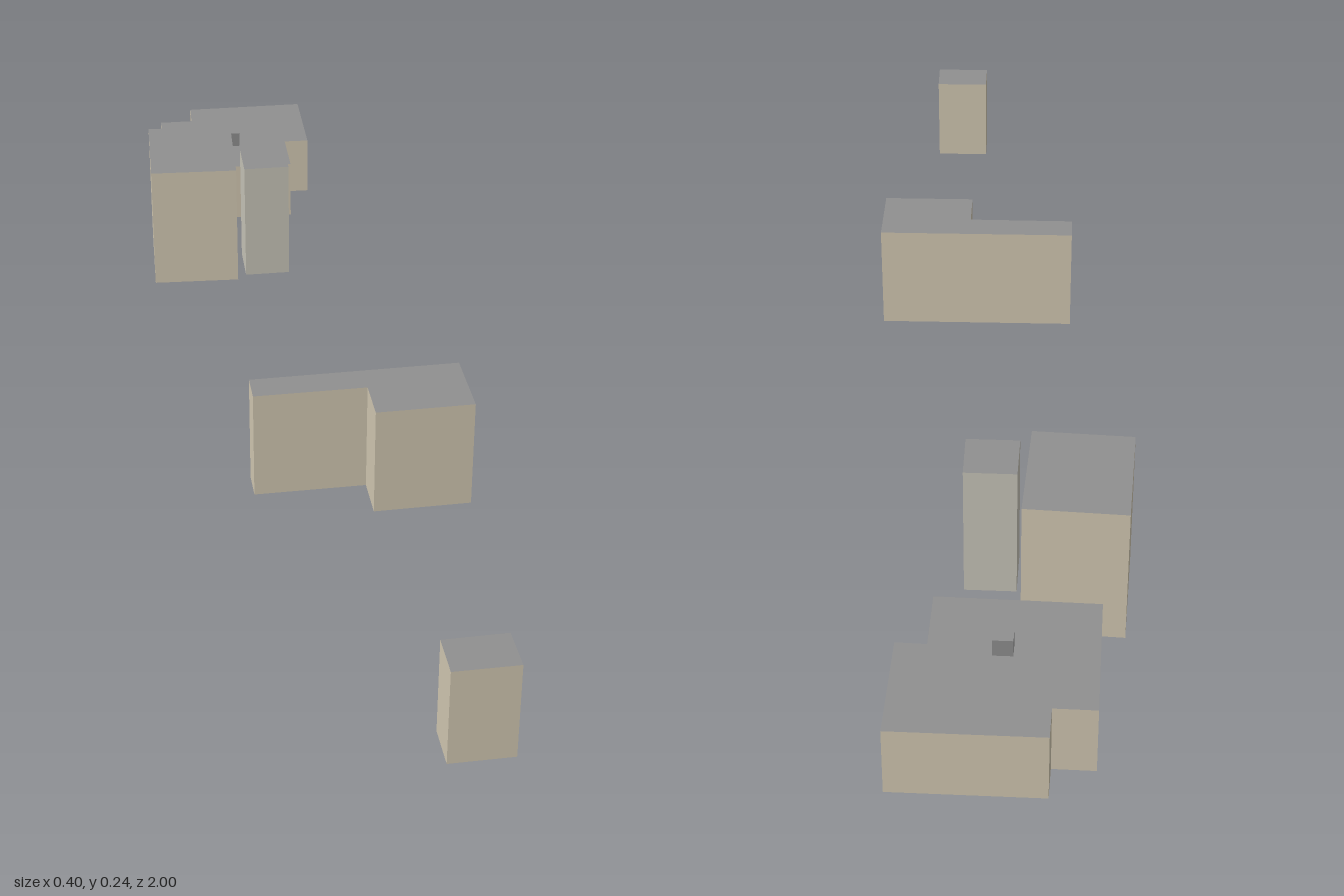
import * as THREE from 'three';

const paint = (color) => new THREE.MeshStandardMaterial({ color, side: THREE.DoubleSide });

// Outward-facing wall quads around a footprint of [x, z] corners (clockwise from above)
function wallGeometry(corners, y0, y1) {
  const positions = [];
  corners.forEach(([ax, az], i) => {
    const [bx, bz] = corners[(i + 1) % corners.length];
    positions.push(bx, y0, bz, ax, y0, az, ax, y1, az);
    positions.push(bx, y0, bz, ax, y1, az, bx, y1, bz);
  });
  const geometry = new THREE.BufferGeometry();
  geometry.setAttribute('position', new THREE.Float32BufferAttribute(positions, 3));
  geometry.computeVertexNormals();
  return geometry;
}

// Flat roof over the same footprint
function roofGeometry(corners, y) {
  const shape = new THREE.Shape(corners.map(([x, z]) => new THREE.Vector2(x, -z)));
  return new THREE.ShapeGeometry(shape).rotateX(-Math.PI / 2).translate(0, y, 0);
}

export function createModel() {
  const model = new THREE.Group();
  model.name = 'buildingGroup';
  const tan = paint(0xd2c8b2);
  const paleGrey = paint(0xc8c5b9);
  const grey = paint(0x909090);

  // Each building is an open-bottomed shell: walls plus a flat roof
  function addBuilding(name, corners, y0, y1, wallMaterial) {
    const building = new THREE.Group();
    building.name = name;
    const walls = new THREE.Mesh(wallGeometry(corners, y0, y1), wallMaterial);
    walls.name = name + 'Walls';
    const roof = new THREE.Mesh(roofGeometry(corners, y1), grey);
    roof.name = name + 'Roof';
    building.add(walls, roof);
    model.add(building);
  }

  // Low wide building at the back with its rooftop box
  addBuilding('lowHall', [
    [-0.035, -1], [0.2, -0.977], [0.18, -0.793], [0.132, -0.799],
    [0.121, -0.692], [-0.133, -0.721], [-0.108, -0.949], [-0.042, -0.942],
  ], 0, 0.118, tan);
  addBuilding('rooftopBox', [
    [0.007, -0.831], [0.038, -0.828], [0.035, -0.8], [0.004, -0.803],
  ], 0.118, 0.147, grey);

  // Tall block and the narrow tower beside it
  addBuilding('tallBlock', [
    [-0.176, -0.665], [-0.014, -0.642], [-0.041, -0.444], [-0.203, -0.467],
  ], 0, 0.241, tan);
  addBuilding('narrowTower', [
    [-0.013, -0.547], [0.071, -0.539], [0.064, -0.451], [-0.022, -0.459],
  ], 0, 0.234, paleGrey);

  // L-shaped building in the middle
  addBuilding('lShapedBuilding', [
    [-0.155, 0.234], [0.2, 0.26], [0.19, 0.39],
    [0.025, 0.378], [0.031, 0.301], [-0.159, 0.286],
  ], 0, 0.196, tan);

  // Small building at the front
  addBuilding('smallBuilding', [
    [-0.022, 0.922], [0.079, 0.929], [0.075, 1], [-0.027, 0.992],
  ], 0, 0.168, tan);

  return model;
}
